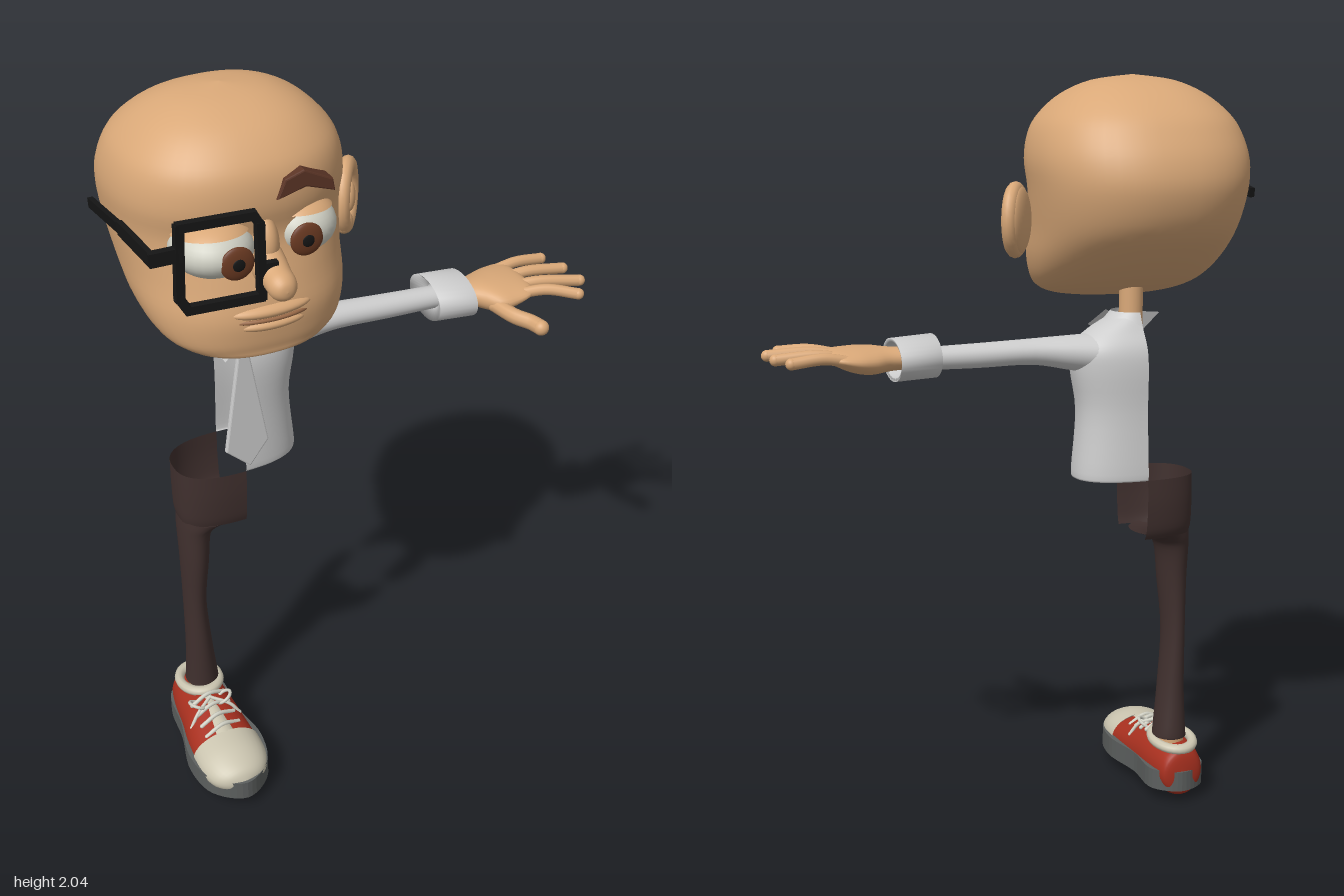
import * as THREE from 'three';

const mat = (color) => new THREE.MeshStandardMaterial({ color, side: THREE.DoubleSide });
const M = {
  skin: mat(0xd9a878), shirt: mat(0xcccccc), pants: mat(0x40302e), black: mat(0x151515), white: mat(0xd0d0c4),
  iris: mat(0x6b3a22), brow: mat(0x5c3526), red: mat(0xa8301f), cream: mat(0xcbc5b0), sole: mat(0x5c5f5e), lip: mat(0x9a6a48),
};
const MID = -0.35; // body centre line
const V = (x, y, z) => new THREE.Vector3(x, y, z);

function add(parent, name, geo, material) {
  const mesh = new THREE.Mesh(geo, material);
  mesh.name = name;
  parent.add(mesh);
  return mesh;
}

// Catmull-Rom blend of whole section rows
function sample(rows, t) {
  const i = Math.min(Math.floor(t), rows.length - 2), f = t - i;
  const at = (k) => rows[Math.max(0, Math.min(rows.length - 1, k))];
  const [a, b, c, d] = [at(i - 1), at(i), at(i + 1), at(i + 2)];
  return b.map((_, k) => 0.5 * (2 * b[k] + (c[k] - a[k]) * f + (2 * a[k] - 5 * b[k] + 4 * c[k] - d[k]) * f * f
    + (3 * b[k] - a[k] - 3 * c[k] + d[k]) * f * f * f));
}

// Skin over superellipse sections [t, cu, cv, ru, rv] stacked along an axis
function loft(rows, { axis = 'y', from = 0, to = Math.PI * 2, power = 2, n = 32, steps = 4 } = {}) {
  const closed = to - from > 6.28, cols = closed ? n : n + 1, pos = [], idx = [];
  const total = (rows.length - 1) * steps;
  const bend = (s) => Math.sign(s) * Math.abs(s) ** (2 / power);
  for (let i = 0; i <= total; i++) {
    const [t, cu, cv, ru, rv] = sample(rows, i / steps);
    for (let j = 0; j < cols; j++) {
      const a = from + (to - from) * j / n;
      const u = cu + Math.max(0, ru) * bend(Math.sin(a)), v = cv + Math.max(0, rv) * bend(Math.cos(a));
      pos.push(...(axis === 'y' ? [u, t, v] : axis === 'x' ? [t, v, u] : [v, u, t]));
      if (i < total && j < n) {
        const p = i * cols + j, q = i * cols + (j + 1) % cols;
        idx.push(p, q, q + cols, p, q + cols, p + cols);
      }
    }
  }
  const g = new THREE.BufferGeometry();
  g.setAttribute('position', new THREE.Float32BufferAttribute(pos, 3));
  g.setIndex(idx);
  g.computeVertexNormals();
  return g;
}

function ball(parent, name, c, r, material) {
  const m = add(parent, name, new THREE.SphereGeometry(1, 32, 20), material);
  m.position.set(...c);
  m.scale.set(...r);
  return m;
}

// Rounded rod through a list of points
function rod(parent, name, pts, r, material) {
  const curve = new THREE.CatmullRomCurve3(pts.map((p) => V(...p)));
  add(parent, name, new THREE.TubeGeometry(curve, 14, r, 10), material);
  for (const p of [pts[0], pts[pts.length - 1]]) ball(parent, name + 'End', p, [r, r, r], material);
}

// Rectangular bar between two points
function bar(parent, name, a, b, w, h, material) {
  const p = V(...a), q = V(...b);
  const m = add(parent, name, new THREE.BoxGeometry(w, h, p.distanceTo(q) + w * 0.7), material);
  m.position.copy(p).lerp(q, 0.5);
  m.lookAt(q);
}

// Thin cut-out facing the front
function cutout(points, depth, z) {
  const g = new THREE.ExtrudeGeometry(new THREE.Shape(points.map((p) => new THREE.Vector2(...p))),
    { depth, bevelEnabled: true, bevelSize: 0.004, bevelThickness: 0.004, bevelSegments: 2 });
  return g.translate(0, 0, z);
}

function fan(points) {
  const g = new THREE.BufferGeometry().setFromPoints(points.map((p) => V(...p)));
  g.setIndex(points.slice(2).flatMap((_, i) => [0, i + 1, i + 2]));
  g.computeVertexNormals();
  return g;
}

function buildHead() {
  const head = new THREE.Group();
  head.name = 'head';
  // height, front z, back z, half width
  const rows = [[1.402, .2, .1, 0], [1.405, .25, .05, .14], [1.425, .258, -.03, .205], [1.46, .265, -.12, .24],
    [1.52, .268, -.22, .262], [1.6, .25, -.31, .272], [1.7, .226, -.348, .285], [1.78, .238, -.34, .292],
    [1.85, .232, -.305, .278], [1.9, .205, -.265, .248], [1.95, .15, -.195, .19], [1.985, .07, -.11, .11], [2, -.02, -.02, 0]];
  add(head, 'skull', loft(rows.map(([y, f, b, w]) => [y, MID, (f + b) / 2, w, (f - b) / 2]), { power: 2.3, n: 48 }), M.skin);
  // Eyes; the one behind the lens bulges further out
  for (const [x, z, rx, rz, ix] of [[-.235, .165, .088, .09, -.255], [-.47, .185, .1, .11, -.447]]) {
    ball(head, 'eyeball', [x, 1.695, z], [rx, .068, rz], M.white);
    const front = z + rz;
    ball(head, 'iris', [ix, 1.69, front - .006], [.042, .042, .012], M.iris);
    ball(head, 'pupil', [ix, 1.69, front + .003], [.017, .017, .005], M.black);
    const lid = add(head, 'upperEyelid', new THREE.SphereGeometry(1, 32, 10, 0, Math.PI * 2, 0, 1.05), M.skin);
    lid.position.set(x, 1.697, z);
    lid.scale.set(rx * 1.05, .073, rz * 1.05);
    lid.rotation.x = -.15;
  }
  add(head, 'eyebrow', cutout([[-.32, 1.805], [-.3, 1.845], [-.255, 1.86], [-.185, 1.825], [-.18, 1.8], [-.25, 1.825]], .04, .2), M.brow);
  // Nose and mouth
  add(head, 'nose', loft([[.2, MID, 1.64, .05, .06], [.25, MID, 1.64, .042, .05], [.29, MID, 1.63, .038, .036],
    [.325, MID, 1.622, .035, .034], [.345, MID, 1.62, .02, .02], [.35, MID, 1.62, 0, 0]]
    .map(([t, x, y, rx, ry]) => [t, y, x, ry, rx]), { axis: 'z' }), M.skin);
  ball(head, 'noseBridge', [MID, 1.69, .215], [.035, .07, .05], M.skin);
  ball(head, 'lowerLip', [MID, 1.495, .235], [.1, .02, .044], M.skin);
  ball(head, 'upperLip', [MID, 1.53, .235], [.11, .022, .045], M.skin);
  rod(head, 'mouthLine', [[-.46, 1.508, .243], [-.4, 1.513, .27], [MID, 1.513, .275], [-.3, 1.513, .27], [-.24, 1.508, .243]], .005, M.lip);
  // Ear, swept outward and back
  const ear = new THREE.Group();
  ear.name = 'ear';
  ear.position.set(-.012, 1.625, -.04);
  ear.rotation.set(0, .95, -.12, 'YXZ');
  ball(ear, 'earBowl', [0, 0, -.012], [.078, .09, .024], M.skin);
  const rim = add(ear, 'earRim', new THREE.TorusGeometry(.068, .02, 12, 32), M.skin);
  rim.scale.set(1, 1.15, 1);
  ball(ear, 'earLobe', [-.025, -.065, 0], [.032, .03, .022], M.skin);
  ball(ear, 'earFold', [-.01, 0, .01], [.02, .04, .015], M.skin);
  head.add(ear);
  add(head, 'neck', new THREE.CylinderGeometry(.032, .034, .2, 20), M.skin).position.set(MID, 1.36, -.035);
  return head;
}

function buildGlasses() {
  const glasses = new THREE.Group();
  glasses.name = 'glasses';
  const c = [[-.575, 1.8, .265], [-.4, 1.8, .28], [-.387, 1.775, .282], [-.387, 1.588, .282], [-.565, 1.588, .267], [-.583, 1.62, .265]];
  c.forEach((p, i) => bar(glasses, 'lensFrame', p, c[(i + 1) % c.length], .02, .022, M.black));
  bar(glasses, 'bridge', [-.387, 1.665, .282], [-.352, 1.665, .285], .018, .018, M.black);
  bar(glasses, 'hinge', [-.58, 1.735, .265], [-.64, 1.73, .255], .02, .035, M.black);
  bar(glasses, 'temple', [-.64, 1.73, .255], [-.647, 1.725, .07], .014, .035, M.black);
  bar(glasses, 'temple', [-.647, 1.725, .07], [-.645, 1.69, -.155], .014, .025, M.black);
  return glasses;
}

function buildShirt() {
  const shirt = new THREE.Group();
  shirt.name = 'shirt';
  const rows = [[.92, .172, -.065, .103], [.94, .176, -.065, .107], [1.1, .163, -.06, .1], [1.22, .182, -.06, .1],
    [1.28, .18, -.06, .09], [1.325, .13, -.052, .07], [1.36, .06, -.045, .055]];
  add(shirt, 'torsoHalf', loft(rows.map(([y, w, z, d]) => [y, MID, z, w, d]), { to: Math.PI, power: 2.4 }), M.shirt);
  add(shirt, 'sleeve', loft([[-.23, -.065, 1.262, .07, .055], [-.15, -.06, 1.268, .055, .046], [-.05, -.05, 1.274, .042, .035],
    [.1, -.04, 1.27, .036, .033], [.25, -.03, 1.268, .033, .03]], { axis: 'x' }), M.shirt);
  add(shirt, 'cuff', loft([[.24, -.025, 1.275, .035, .03], [.215, -.025, 1.275, .088, .058], [.325, -.02, 1.268, .092, .057],
    [.322, -.02, 1.268, .08, .047], [.24, -.025, 1.272, .075, .045]], { axis: 'x', steps: 1 }), M.shirt);
  // Collar and tie
  add(shirt, 'collarBand', loft([[1.325, MID, -.045, .105, .075], [1.372, MID, -.04, .058, .058]], { to: Math.PI, steps: 2 }), M.shirt);
  add(shirt, 'collarFlap', fan([[-.36, 1.362, .02], [-.45, 1.357, -.005], [-.395, 1.275, .045], [-.348, 1.335, .055]]), M.shirt);
  add(shirt, 'collarFlap', fan([[-.345, 1.345, .05], [-.3, 1.302, .058], [-.25, 1.328, .03], [-.295, 1.37, .01]]), M.shirt);
  add(shirt, 'tie', cutout([[-.37, 1.34], [-.33, 1.34], [-.338, 1.29], [-.294, 1.02], [-.345, .953], [-.406, 1.01], [-.362, 1.29]], .008, .048), M.shirt);
  return shirt;
}

function buildHand() {
  const hand = new THREE.Group();
  hand.name = 'hand';
  add(hand, 'palm', loft([[.26, -.025, 1.272, .035, .028], [.33, -.01, 1.27, .05, .032], [.38, .008, 1.268, .09, .038],
    [.43, .005, 1.272, .1, .034], [.48, .003, 1.28, .092, .02], [.5, .003, 1.28, .05, .008], [.502, 0, 1.28, 0, 0]], { axis: 'x' }), M.skin);
  for (const [z0, x1, z1] of [[-.07, .605, -.07], [-.022, .63, .005], [.028, .635, .085], [.07, .592, .148]])
    rod(hand, 'finger', [[.45, 1.277, z0], [.52, 1.288, z0 + (z1 - z0) * .4], [x1, 1.28, z1]], .0155, M.skin);
  rod(hand, 'thumb', [[.38, 1.26, .07], [.4, 1.255, .14], [.428, 1.25, .18], [.436, 1.25, .215]], .021, M.skin);
  return hand;
}

function buildTrousers() {
  const trousers = new THREE.Group();
  trousers.name = 'trousers';
  const hip = [[.75, .163, -.065, .09], [.78, .167, -.067, .1], [.85, .168, -.066, .106], [.92, .168, -.064, .105]];
  add(trousers, 'hipHalf', loft(hip.map(([y, w, z, d]) => [y, MID, z, w, d]), { from: Math.PI, to: Math.PI * 2, power: 2.6 }), M.pants);
  add(trousers, 'leg', loft([[.14, -.47, -.083, .048, .052], [.16, -.47, -.083, .046, .052], [.28, -.475, -.075, .037, .048],
    [.45, -.481, -.07, .031, .048], [.6, -.477, -.062, .038, .058], [.7, -.472, -.065, .044, .068],
    [.735, -.458, -.066, .057, .08], [.755, -.432, -.066, .082, .092]]), M.pants);
  return trousers;
}

function buildShoe() {
  const shoe = new THREE.Group();
  shoe.name = 'shoe';
  const outline = [[-.47, -.18], [-.55, -.14], [-.572, 0], [-.598, .13], [-.575, .24], [-.49, .3], [-.41, .25], [-.38, .14], [-.4, 0], [-.4, -.13]];
  const path = new THREE.CatmullRomCurve3(outline.map(([x, z]) => V(x, z, 0)), true).getPoints(60);
  const sole = new THREE.ExtrudeGeometry(new THREE.Shape(path.map((p) => new THREE.Vector2(p.x, p.y))), { depth: .058, bevelEnabled: false });
  add(shoe, 'sole', sole.rotateX(Math.PI / 2).translate(0, .058, 0), M.sole);
  add(shoe, 'upper', loft([[-.176, .05, -.475, 0, 0], [-.17, .05, -.475, .05, .045], [-.15, .05, -.478, .072, .065], [-.08, .05, -.482, .082, .078],
    [0, .05, -.485, .086, .084], [.07, .05, -.489, .074, .092], [.15, .05, -.491, .06, .097]], { axis: 'z' }), M.red);
  add(shoe, 'toeCap', loft([[.14, .05, -.49, .068, .1], [.2, .05, -.491, .063, .098], [.25, .05, -.492, .048, .082],
    [.28, .05, -.492, .03, .05], [.294, .05, -.492, 0, 0]], { axis: 'z' }), M.cream);
  add(shoe, 'tongue', loft([[-.03, .07, -.485, .072, .035], [.06, .07, -.488, .06, .04], [.15, .07, -.49, .047, .045]], { axis: 'z' }), M.cream);
  const rim = add(shoe, 'ankleRim', new THREE.TorusGeometry(.056, .014, 10, 28), M.cream);
  rim.position.set(-.477, .128, -.09);
  rim.rotation.x = Math.PI / 2 - .12;
  rim.scale.set(1, 1.25, 1);
  // Laces and bow
  for (let i = 0; i < 4; i++) {
    const z = .125 - i * .037, y = .118 + i * .008;
    rod(shoe, 'lace', [[-.54, y - .015, z], [-.488, y + .005, z - .008], [-.435, y - .015, z - .02]], .006, M.white);
  }
  for (const s of [-1, 1]) {
    const loop = add(shoe, 'laceLoop', new THREE.TorusGeometry(.024, .005, 8, 20), M.white);
    loop.position.set(-.487 + s * .04, .135, .025);
    loop.rotation.set(Math.PI / 2 - .3, s * .5, 0);
    rod(shoe, 'laceEnd', [[-.487, .146, .02], [-.487 + s * .05, .125, .05], [-.487 + s * .075, .09, .06]], .005, M.white);
  }
  add(shoe, 'ankle', new THREE.CylinderGeometry(.038, .042, .1, 20), M.skin).position.set(-.472, .13, -.085);
  return shoe;
}

export function createModel() {
  const model = new THREE.Group();
  model.name = 'figure';
  model.add(buildHead(), buildGlasses(), buildShirt(), buildHand(), buildTrousers(), buildShoe());
  return model;
}
